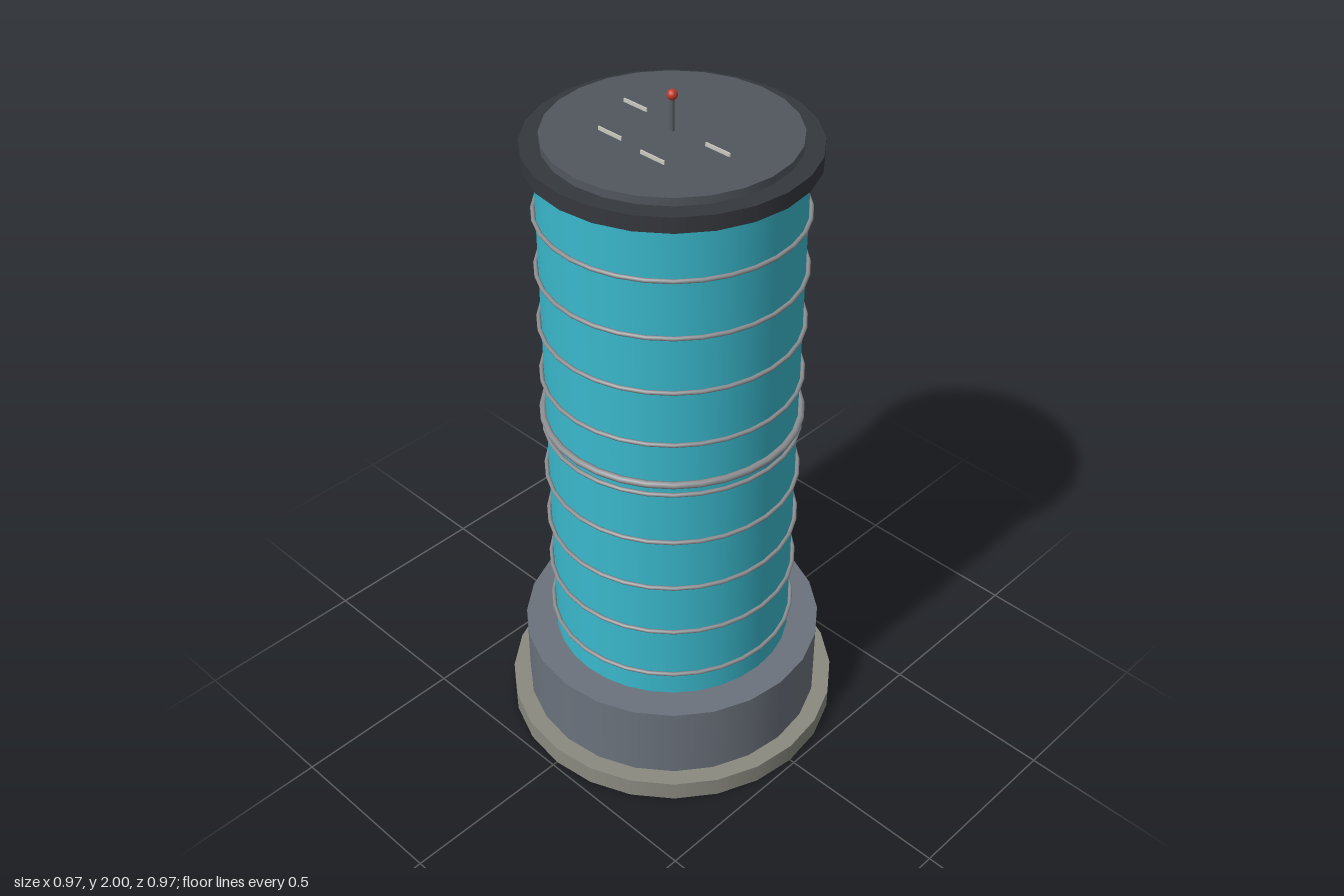
import * as THREE from 'three';

const paint = (color) => new THREE.MeshStandardMaterial({ color });

export function createModel() {
  const model = new THREE.Group();
  const add = (name, geometry, material, x, y, z) => {
    const mesh = new THREE.Mesh(geometry, material);
    mesh.name = name;
    mesh.position.set(x, y, z);
    model.add(mesh);
    return mesh;
  };
  // Upright cylinder between two heights
  const drum = (name, radius, bottom, top, color, sides = 24) =>
    add(name, new THREE.CylinderGeometry(radius, radius, top - bottom, sides), paint(color), 0, (bottom + top) / 2, 0);

  // Stacked tower body
  drum('groundSlab', 0.485, 0, 0.06, 0x8a8a80);
  drum('plinth', 0.435, 0.06, 0.29, 0x6b727c);
  drum('tankBody', 0.345, 0.29, 1.83, 0x3ab8cc, 32);
  drum('capRim', 0.378, 1.825, 1.868, 0x35383d);
  drum('roofDisc', 0.328, 1.868, 1.89, 0x52575e);

  // Evenly spaced hoops around the body
  const steel = paint(0x8c8f92);
  const hoop = (name, radius, tube, y) => {
    add(name, new THREE.TorusGeometry(radius, tube, 8, 32), steel, 0, y, 0).rotation.x = Math.PI / 2;
  };
  for (let i = 0; i < 9; i++) hoop('hoop' + (i + 1), 0.351, 0.006, 0.37 + i * 0.1635);
  hoop('middleBand', 0.352, 0.01, 1.058);

  // Thin strips on the roof
  const pale = paint(0xc8c8c0);
  const strips = [[-0.152, -0.025], [0.153, 0], [-0.091, 0.123], [0.068, 0.136]];
  strips.forEach(([x, z], i) =>
    add('roofStrip' + (i + 1), new THREE.BoxGeometry(0.08, 0.01, 0.004), pale, x, 1.895, z));

  // Mast with warning light
  drum('mast', 0.006, 1.89, 1.98, 0x5a5d62, 8);
  add('warningLight', new THREE.SphereGeometry(0.014, 16, 12), paint(0xc0392b), 0, 1.986, 0);

  return model;
}
